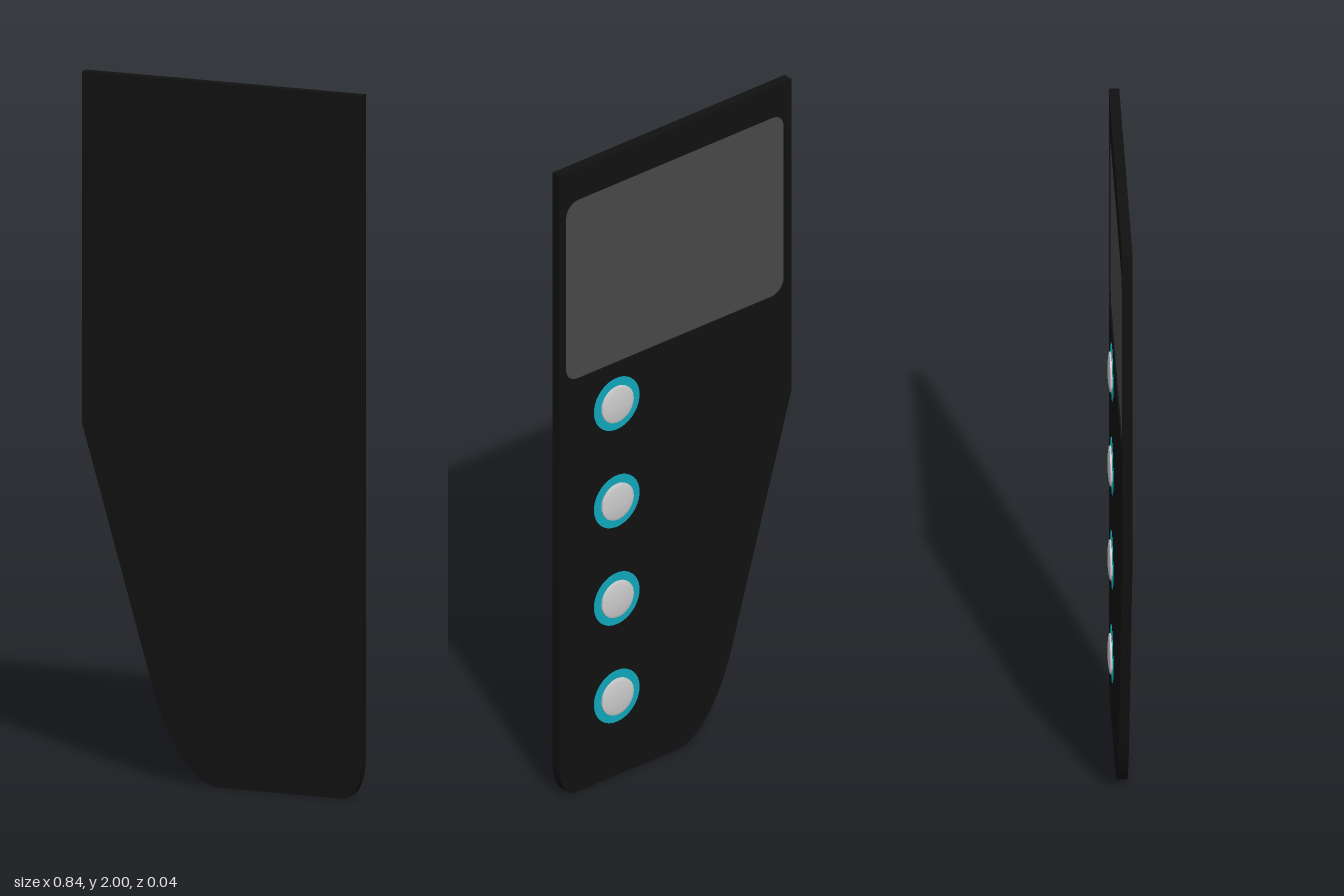
import * as THREE from 'three';
import { toCreasedNormals } from 'three/addons/utils/BufferGeometryUtils.js';

const FRONT = 0.021, BACK = -0.008, RECESS = 0.005;

const material = (color) => new THREE.MeshStandardMaterial({ color });

// Extrude a shape between two z planes
function slab(name, shape, z0, z1, mat) {
  const geo = new THREE.ExtrudeGeometry(shape, { depth: z1 - z0, bevelEnabled: false, curveSegments: 32 });
  geo.translate(0, 0, z0);
  const mesh = new THREE.Mesh(toCreasedNormals(geo, 0.5), mat);
  mesh.name = name;
  return mesh;
}

// Panel silhouette: straight top, tapered right side, rounded foot
function panelShape() {
  const s = new THREE.Shape();
  s.moveTo(-0.42, 2);
  s.lineTo(-0.42, 1);
  s.lineTo(-0.2, 0.24);
  s.bezierCurveTo(-0.16, 0.11, -0.09, 0.0, 0, 0);
  s.lineTo(0.36, 0);
  s.bezierCurveTo(0.4, 0, 0.42, 0.05, 0.42, 0.12);
  s.lineTo(0.42, 2);
  s.closePath();
  return s;
}

function roundedRect(target, x0, y0, x1, y1, r) {
  target.moveTo(x0 + r, y0);
  target.lineTo(x1 - r, y0);
  target.absarc(x1 - r, y0 + r, r, -Math.PI / 2, 0);
  target.lineTo(x1, y1 - r);
  target.absarc(x1 - r, y1 - r, r, 0, Math.PI / 2);
  target.lineTo(x0 + r, y1);
  target.absarc(x0 + r, y1 - r, r, Math.PI / 2, Math.PI);
  target.lineTo(x0, y0 + r);
  target.absarc(x0 + r, y0 + r, r, Math.PI, Math.PI * 1.5);
  return target;
}

export function createModel() {
  const model = new THREE.Group();
  model.name = 'controlPanel';
  const black = material(0x111111);
  const screenGrey = material(0x484848);
  const teal = material(0x0fa8bc);
  const grey = material(0xcccccc);

  // Panel body, with a bezel layer that leaves a shallow recess for the screen
  const screenBox = [-0.395, 1.325, 0.395, 1.9, 0.045];
  const bezel = panelShape();
  bezel.holes.push(roundedRect(new THREE.Path(), ...screenBox));
  model.add(slab('panelBody', panelShape(), BACK + RECESS, FRONT, black));
  model.add(slab('panelBezel', bezel, BACK, BACK + RECESS, black));
  model.add(slab('screen', roundedRect(new THREE.Shape(), ...screenBox), BACK + RECESS - 0.001, BACK + RECESS + 0.002, screenGrey));

  // Coloured ring around each button
  const ring = new THREE.Shape();
  ring.absarc(0, 0, 0.082, 0, Math.PI * 2);
  const hole = new THREE.Path();
  hole.absarc(0, 0, 0.056, 0, Math.PI * 2);
  ring.holes.push(hole);

  // Domed button profile, turned to point out of the back
  const profile = [new THREE.Vector2(0.057, 0.006), new THREE.Vector2(0.057, 0.015)];
  for (let i = 0; i <= 8; i++) {
    const r = 0.055 * (1 - i / 8);
    profile.push(new THREE.Vector2(r, 0.021 - 0.005 * (r / 0.055) ** 2));
  }
  const buttonGeo = toCreasedNormals(new THREE.LatheGeometry(profile, 40).rotateX(-Math.PI / 2), 0.5);

  for (let i = 0; i < 4; i++) {
    const group = new THREE.Group();
    group.name = 'button' + (i + 1);
    const cap = new THREE.Mesh(buttonGeo, grey);
    cap.name = 'buttonCap';
    group.add(slab('buttonRing', ring, BACK - 0.002, BACK + 0.001, teal), cap);
    group.position.set(0.213, 1.194 - i * 0.313, 0);
    model.add(group);
  }
  return model;
}
